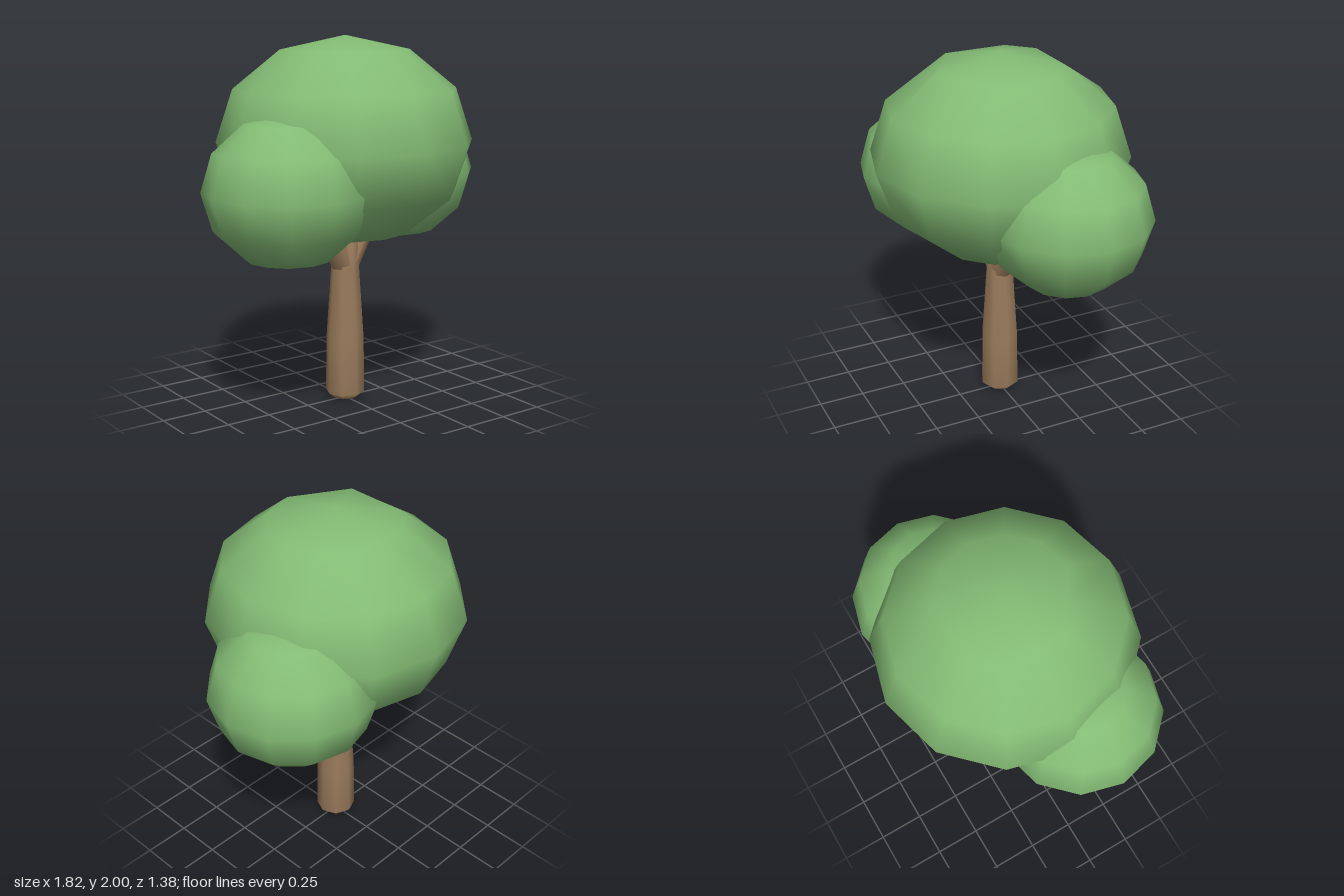
import * as THREE from 'three';

const green = new THREE.MeshStandardMaterial({ color: 0x83bb74 });
green.name = 'leafGreen';
const brown = new THREE.MeshStandardMaterial({ color: 0x9a7b5c });
brown.name = 'barkBrown';

function addMesh(group, name, geometry, material) {
  const mesh = new THREE.Mesh(geometry, material);
  mesh.name = name;
  group.add(mesh);
  return mesh;
}

// Coarse twelve-sided ball, smooth shaded and slightly squashed
function leafBall(radius, height) {
  return new THREE.SphereGeometry(1, 12, 6).scale(radius, height, radius);
}

// Flatten a few corners of the top ring so the crown is less regular
function flattenCrown(geometry, height) {
  const p = geometry.attributes.position;
  for (let i = 0; i < p.count; i++) {
    if (Math.abs(p.getY(i) / height - 0.866) > 0.01) continue;
    const angle = Math.round(THREE.MathUtils.radToDeg(Math.atan2(p.getZ(i), p.getX(i))));
    if ([120, 180, -180, -90].includes(angle)) {
      p.setX(i, p.getX(i) * 0.866);
      p.setZ(i, p.getZ(i) * 0.866);
    }
  }
  return geometry;
}

export function createModel() {
  const tree = new THREE.Group();
  tree.name = 'tree';

  // Trunk with rounded foot
  const profile = [[0, 0], [0.07, 0.007], [0.108, 0.04], [0.104, 0.35], [0.078, 0.74], [0.07, 0.92], [0, 0.95]]
    .map(([r, y]) => new THREE.Vector2(r, y));
  addMesh(tree, 'trunk', new THREE.LatheGeometry(profile, 8), brown);

  // Two forked branches reaching into the side foliage
  for (const side of [1, -1]) {
    const start = new THREE.Vector3(side * 0.01, 0.765, 0);
    const end = new THREE.Vector3(side * 0.23, 1.08, side * -0.04);
    const dir = end.clone().sub(start);
    const branch = addMesh(tree, side > 0 ? 'leftBranch' : 'rightBranch',
      new THREE.CylinderGeometry(0.06, 0.07, dir.length(), 8), brown);
    branch.position.copy(start).add(end).multiplyScalar(0.5);
    branch.quaternion.setFromUnitVectors(new THREE.Vector3(0, 1, 0), dir.normalize());
  }

  // Main crown
  addMesh(tree, 'mainFoliage', flattenCrown(leafBall(0.69, 0.56), 0.56), green)
    .position.set(0, 1.44, 0);

  // Smaller side crowns, one to the back and one to the front
  for (const side of [1, -1]) {
    addMesh(tree, side > 0 ? 'leftFoliage' : 'rightFoliage', leafBall(0.44, 0.4), green)
      .position.set(side * 0.47, 1.23, side * -0.16);
  }
  return tree;
}
